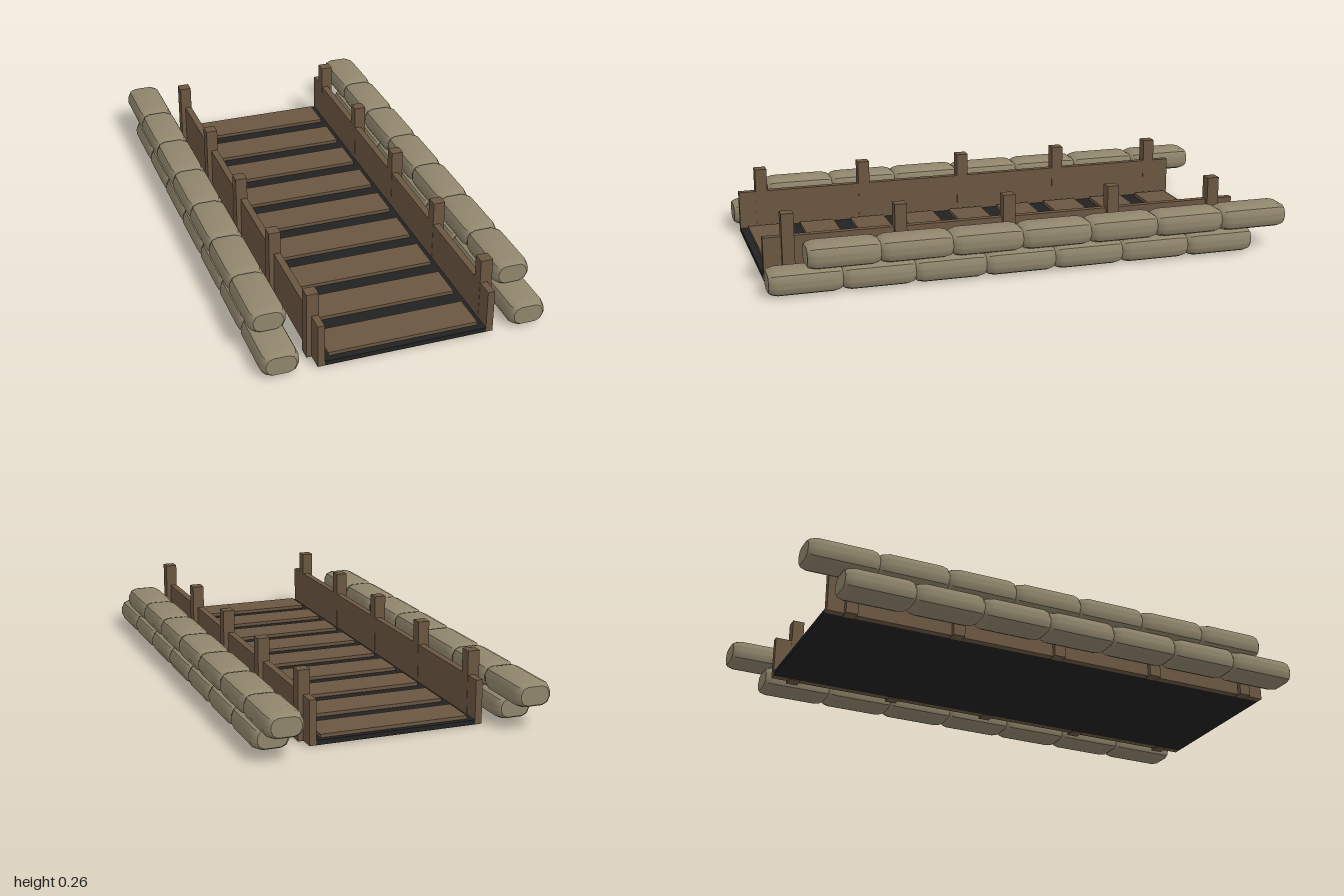
import * as THREE from 'three';
import { toCreasedNormals } from 'three/addons/utils/BufferGeometryUtils.js';

const wood = new THREE.MeshStandardMaterial({ color: 0x6b5741 });
wood.name = 'brown wood';
const dark = new THREE.MeshStandardMaterial({ color: 0x222222 });
dark.name = 'dark floor';
const sack = new THREE.MeshStandardMaterial({ color: 0x91866d });
sack.name = 'tan sackcloth';

// Box given by its limits on each axis
function box(name, material, [x0, x1], [y0, y1], [z0, z1]) {
  const mesh = new THREE.Mesh(new THREE.BoxGeometry(x1 - x0, y1 - y0, z1 - z0), material);
  mesh.position.set((x0 + x1) / 2, (y0 + y1) / 2, (z0 + z1) / 2);
  mesh.name = name;
  return mesh;
}

// Sandbag: a bevelled cross-section lofted along z, with tapered ends
function sandbagGeometry(length) {
  const right = [[0.037, -0.045], [0.06, -0.035], [0.072, -0.01], [0.072, 0.01], [0.06, 0.035], [0.037, 0.045]];
  const section = [...right, ...right.map(([x, y]) => [-x, y]).reverse()];
  const h = length / 2;
  const rings = [[-h, 0.76], [-h + 0.01, 0.9], [-h + 0.032, 1], [h - 0.032, 1], [h - 0.01, 0.9], [h, 0.76]];
  const n = section.length;
  const positions = [];
  const index = [];
  for (const [z, s] of rings) for (const [x, y] of section) positions.push(x * s, y * s, z);
  for (let r = 0; r < rings.length - 1; r++) {
    for (let i = 0; i < n; i++) {
      const a = r * n + i;
      const b = r * n + (i + 1) % n;
      index.push(a, b, b + n, a, b + n, a + n);
    }
  }
  // Flat end caps
  const last = (rings.length - 1) * n;
  for (let i = 1; i < n - 1; i++) {
    index.push(0, i + 1, i, last, last + i, last + i + 1);
  }
  const geometry = new THREE.BufferGeometry();
  geometry.setAttribute('position', new THREE.Float32BufferAttribute(positions, 3));
  geometry.setIndex(index);
  return toCreasedNormals(geometry, 0.65);
}

export function createModel() {
  const model = new THREE.Group();
  model.name = 'trench';

  // Floor with spaced duckboards
  model.add(box('floor', dark, [-0.302, 0.302], [0.003, 0.02], [-0.86, 0.99]));
  for (let i = 0; i < 9; i++) {
    const z = 0.894 - i * 0.208;
    model.add(box('floorPlank', wood, [-0.28, 0.28], [0.018, 0.033], [z - 0.069, z + 0.069]));
  }

  const step = 0.2657;
  const bag = sandbagGeometry(step);
  for (const side of [-1, 1]) {
    const label = side > 0 ? 'left' : 'right';
    const span = (a, b) => (side > 0 ? [a, b] : [-b, -a]);

    // Plank wall and its posts
    model.add(box(label + 'Wall', wood, span(0.302, 0.328), [0.003, 0.168], [-0.86, 0.99]));
    for (let i = 0; i < 5; i++) {
      const z = 0.9 - i * 0.418;
      model.add(box(label + 'Post', wood, span(0.301, 0.346), [0, 0.257], [z - 0.023, z + 0.023]));
    }

    // Two staggered rows of sandbags
    const bags = new THREE.Group();
    bags.name = label + 'Sandbags';
    for (const [y, front] of [[0.048, 1], [0.134, 0.86]]) {
      for (let i = 0; i < 7; i++) {
        const mesh = new THREE.Mesh(bag, sack);
        mesh.name = 'sandbag';
        mesh.position.set(side * 0.461, y, front - (i + 0.5) * step);
        bags.add(mesh);
      }
    }
    model.add(bags);
  }
  return model;
}
